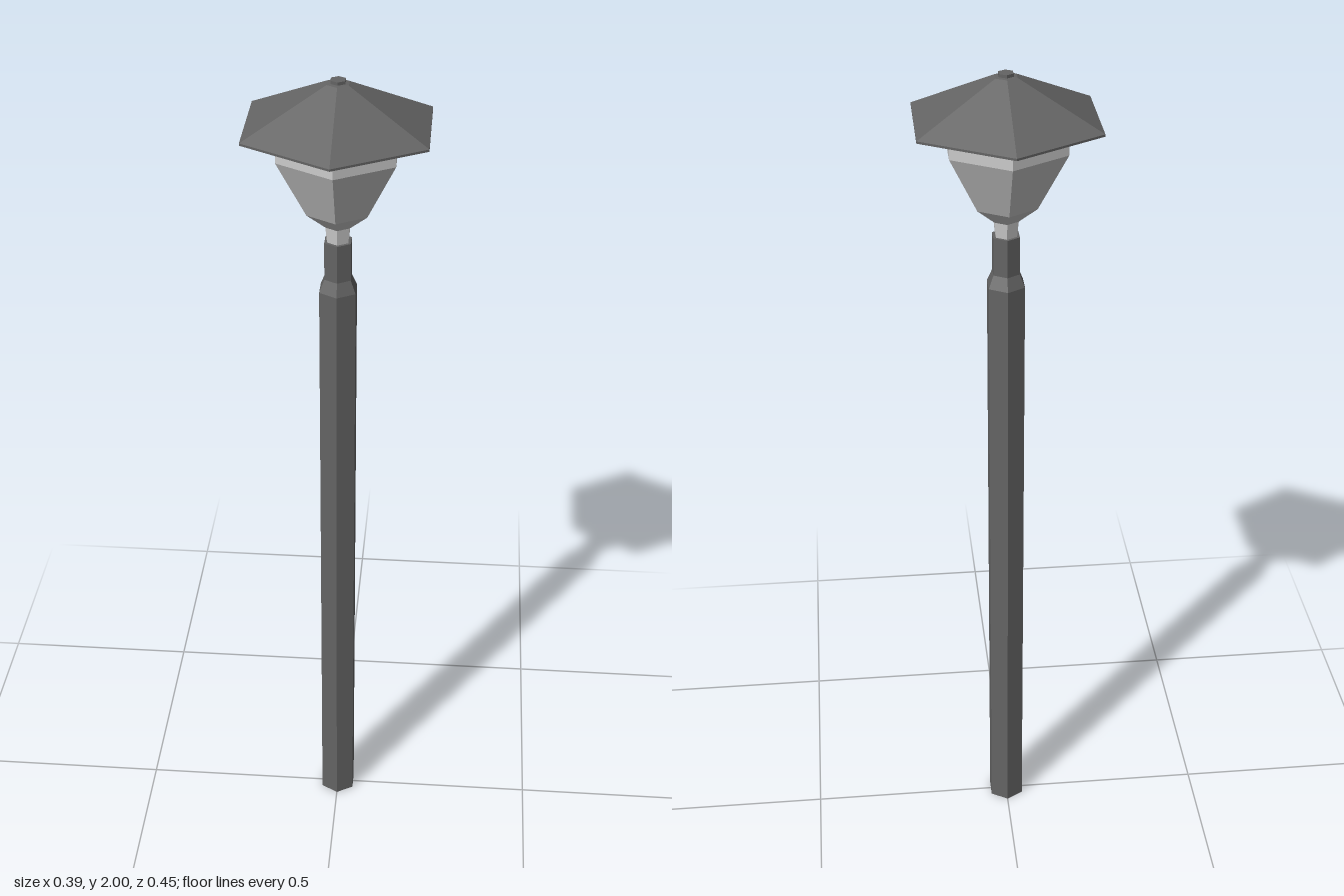
import * as THREE from 'three';

const dark = new THREE.MeshStandardMaterial({ color: 0x646464, flatShading: true });
const pale = new THREE.MeshStandardMaterial({ color: 0xcccccc, flatShading: true });

// Six-sided solid from a [radius, height] profile, listed bottom to top
function hexPart(name, profile, material) {
  const points = profile.map(([r, y]) => new THREE.Vector2(r, y));
  const mesh = new THREE.Mesh(new THREE.LatheGeometry(points, 6), material);
  mesh.name = name;
  return mesh;
}

export function createModel() {
  const group = new THREE.Group();
  group.name = 'lampPost';

  // Straight post narrowing to a collar
  group.add(hexPart('post', [
    [0, 0], [0.047, 0], [0.047, 1.51], [0.034, 1.54], [0.034, 1.63], [0, 1.63],
  ], dark));

  // Lantern body flaring out from a slim neck
  group.add(hexPart('lantern', [
    [0, 1.63], [0.027, 1.63], [0.031, 1.667], [0.076, 1.705], [0.147, 1.84], [0.147, 1.897], [0, 1.897],
  ], pale));

  // Wide roof with a flat underside and a small finial
  group.add(hexPart('roof', [
    [0, 1.895], [0.227, 1.895], [0.227, 1.9], [0.027, 1.992], [0.018, 1.993], [0.018, 2], [0, 2],
  ], dark));

  return group;
}
